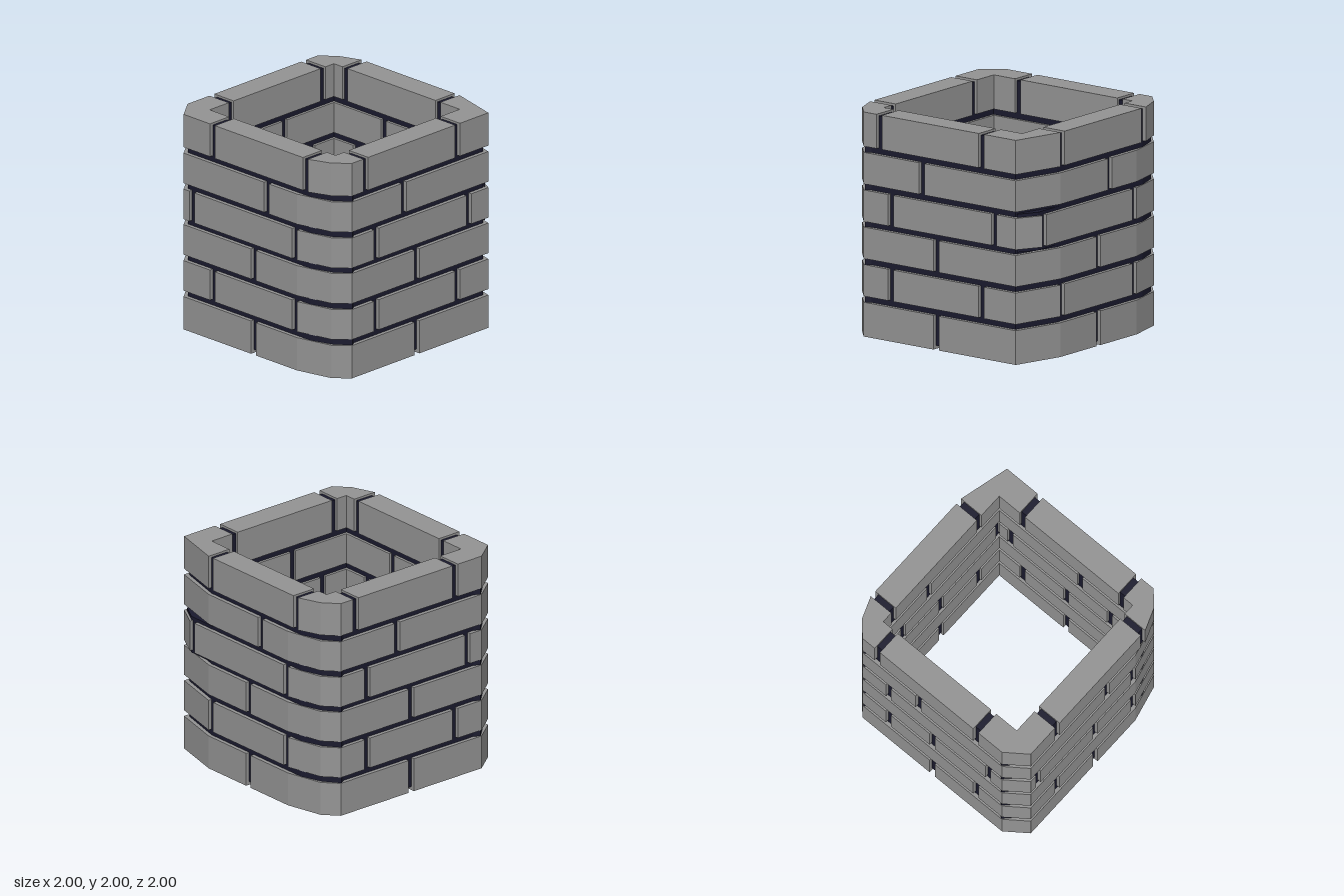
import * as THREE from 'three';

const brickMat = new THREE.MeshStandardMaterial({ color: 0x949494, flatShading: true });
const mortarMat = new THREE.MeshStandardMaterial({ color: 0x1a1a2e, flatShading: true });

const OUT = 1, INN = 0.765, GAP = 0.03;

// Joint positions per course: along x on the front, along z on the right side.
// Back and left repeat them turned by half a revolution.
const courses = [
  { y0: 0, y1: 0.305, front: [0], side: [0] },
  { y0: 0.36, y1: 0.64, front: [-0.5, 0.5], side: [0.5, -0.5] },
  { y0: 0.695, y1: 0.975, front: [0], side: [0] },
  { y0: 1.025, y1: 1.305, front: [-0.75, 0.5], side: [0.5, -0.64] },
  { y0: 1.36, y1: 1.64, front: [0.16], side: [0.16] },
  { y0: 1.695, y1: 2, front: [-0.5, 0.63], side: [0.63, -0.5] },
];

// Prism from a plan outline of [x, z] points, standing between two heights
function prism(points, y0, y1, material, name, hole) {
  const toVec = ([x, z]) => new THREE.Vector2(x, -z);
  const shape = new THREE.Shape(points.map(toVec));
  if (hole) shape.holes.push(new THREE.Path(hole.map(toVec)));
  const geo = new THREE.ExtrudeGeometry(shape, { depth: y1 - y0, bevelEnabled: false });
  geo.rotateX(-Math.PI / 2);
  geo.translate(0, y0, 0);
  const mesh = new THREE.Mesh(geo, material);
  mesh.name = name;
  return mesh;
}

// Point on a wall: s runs along the wall, r is the distance from the centre.
// Walls go front, right, back, left, each in its direction of travel.
const onWall = [
  (s, r) => [s, r],
  (s, r) => [r, -s],
  (s, r) => [-s, -r],
  (s, r) => [-r, s],
];

// Worn outer corner that follows each wall; a is where the brick end lies
function cornerPoints(i, a) {
  const start = Math.max(a, 0.53);
  return [
    [[start, 1], [0.87, 0.92], [1, 0.8]],
    [[1, -0.88], [start, -1]],
    [[-start, -1], [-0.87, -0.92], [-1, -0.8]],
    [[-1, 0.8], [-0.85, 1]],
  ][i];
}

export function createModel() {
  const model = new THREE.Group();
  model.name = 'brickShaft';

  courses.forEach(({ y0, y1, front, side }, row) => {
    const course = new THREE.Group();
    course.name = `course${row + 1}`;
    const right = side.map((z) => -z);
    const walls = [front, right, front, right];

    walls.forEach((joints, i) => {
      const at = onWall[i], next = onWall[(i + 1) % 4];

      // Straight bricks between two joints of one wall
      for (let j = 0; j + 1 < joints.length; j++) {
        const a = joints[j] + GAP, b = joints[j + 1] - GAP;
        course.add(prism([at(a, OUT), at(b, OUT), at(b, INN), at(a, INN)],
          y0, y1, brickMat, 'wallBrick'));
      }

      // Corner brick wrapping onto the next wall
      const a = joints[joints.length - 1] + GAP;
      const b = walls[(i + 1) % 4][0] - GAP;
      const wear = cornerPoints(i, i === 1 ? -b : a);
      course.add(prism([at(a, OUT), ...wear, next(b, OUT), next(b, INN), at(INN, INN), at(a, INN)]
        .filter((p, k, l) => k === 0 || Math.hypot(p[0] - l[k - 1][0], p[1] - l[k - 1][1]) > 1e-4),
      y0, y1, brickMat, 'cornerBrick'));
    });
    model.add(course);
  });

  // Recessed mortar core, almost flush at the corners
  const outline = [
    [-0.83, 0.965], [0.66, 0.965], [0.86, 0.895], [0.998, 0.79],
    [0.965, 0.74], [0.965, -0.85], [0.53, -0.965],
    [-0.66, -0.965], [-0.86, -0.895], [-0.998, -0.79], [-0.965, -0.74],
    [-0.965, 0.74], [-0.998, 0.79],
  ];
  const h = 0.79;
  model.add(prism(outline, 0.03, 1.98, mortarMat, 'mortar', [[-h, h], [-h, -h], [h, -h], [h, h]]));

  // Fuller mortar behind the short corner brick of the fourth course
  model.add(prism([[0.5, -0.8], [0.8, -0.8], [0.97, -0.87], [0.8, -0.967], [0.5, -0.967]],
    0.995, 1.335, mortarMat, 'cornerMortar'));

  return model;
}
